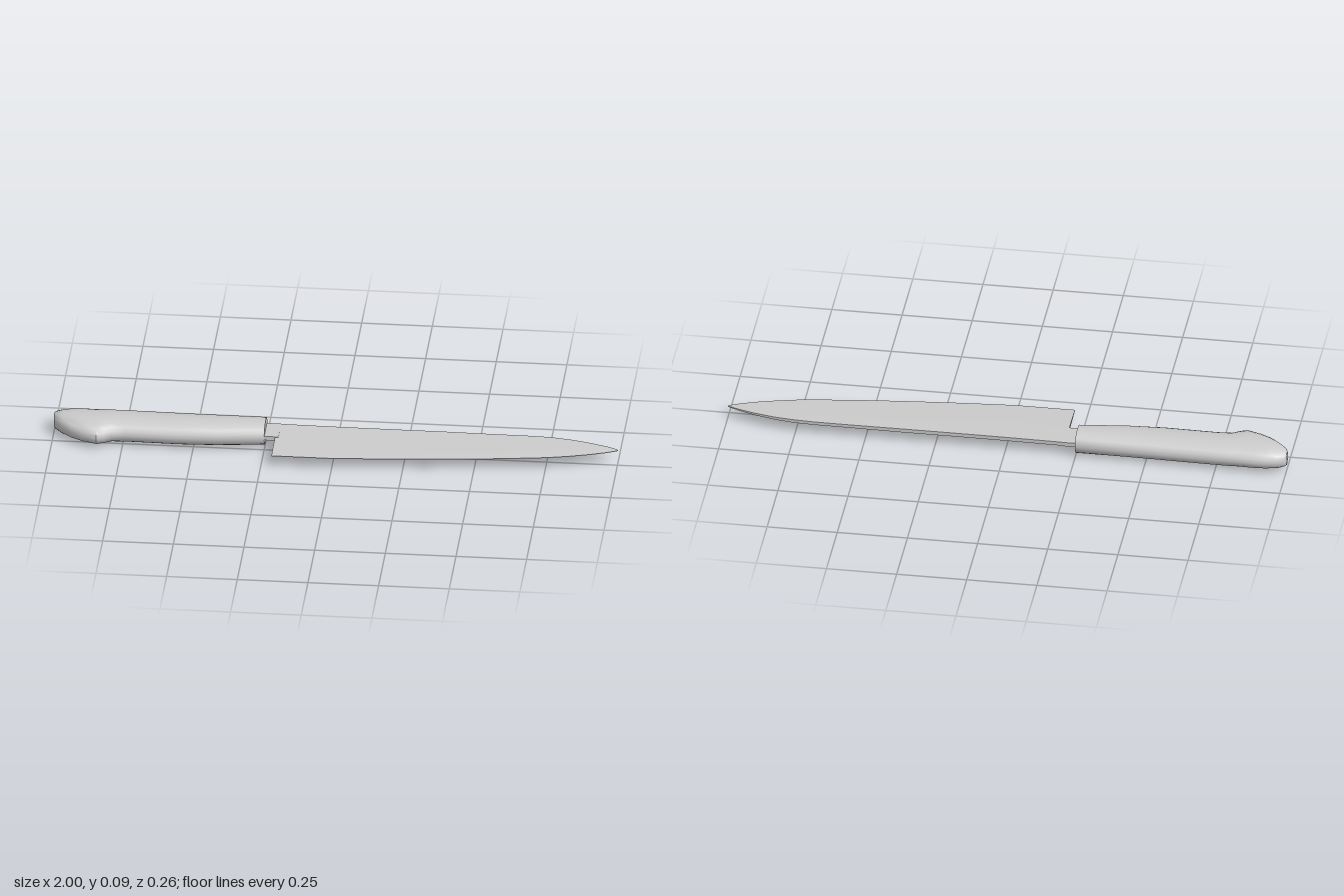
import * as THREE from 'three';
import { toCreasedNormals } from 'three/addons/utils/BufferGeometryUtils.js';

const MID_Y = 0.046;

// Closed skin through rings of equal length, running along +x; each ring turns from +z towards +y
function loft(rings, crease) {
  const n = rings[0].length, pos = rings.flat(2), idx = [];
  for (let i = 0; i < rings.length - 1; i++) {
    for (let j = 0; j < n; j++) {
      const a = i * n + j, b = i * n + (j + 1) % n;
      idx.push(a, a + n, b, b, a + n, b + n);
    }
  }
  const last = (rings.length - 1) * n;
  for (let j = 1; j < n - 1; j++) {
    idx.push(0, j, j + 1, last, last + j + 1, last + j);
  }
  const g = new THREE.BufferGeometry();
  g.setAttribute('position', new THREE.Float32BufferAttribute(pos, 3));
  g.setIndex(idx);
  return toCreasedNormals(g, crease);
}

// Rounded handle section between two z limits
function handleRing([x, z0, z1, h], sides = 20) {
  const ring = [];
  for (let j = 0; j < sides; j++) {
    const a = (j / sides) * Math.PI * 2, c = Math.cos(a), s = Math.sin(a);
    const z = (z0 + z1) / 2 + Math.sign(c) * Math.abs(c) ** 0.9 * (z1 - z0) / 2;
    ring.push([x, MID_Y + Math.sign(s) * Math.abs(s) ** 0.9 * h, z]);
  }
  return ring;
}

// Wedge section: thick spine at z0, thin cutting edge at z1
function bladeRing([x, z0, z1, t]) {
  const zm = z0 + (z1 - z0) * 0.65, e = 0.001;
  return [[z1, e], [zm, t * 0.75], [z0, t], [z0, -t], [zm, -t * 0.75], [z1, -e]]
    .map(([z, y]) => [x, MID_Y + y, z]);
}

export function createModel() {
  const group = new THREE.Group();
  const material = new THREE.MeshStandardMaterial({ color: 0xcccccc });
  const add = (name, geometry) => {
    const mesh = new THREE.Mesh(geometry, material);
    mesh.name = name;
    group.add(mesh);
    return mesh;
  };

  // Handle with a hooked butt: x, back z, front z, half height
  const handle = [
    [-1, -0.1, -0.06, 0.024], [-0.995, -0.108, -0.045, 0.029],
    [-0.97, -0.122, -0.015, 0.036], [-0.93, -0.132, 0.02, 0.041],
    [-0.89, -0.135, 0.042, 0.043], [-0.84, -0.134, 0.06, 0.044],
    [-0.815, -0.133, 0.048, 0.044], [-0.79, -0.133, 0.031, 0.044],
    [-0.74, -0.132, 0.027, 0.044], [-0.55, -0.128, 0.03, 0.044],
    [-0.42, -0.125, 0.022, 0.044], [-0.25, -0.121, -0.002, 0.043],
  ];
  add('handle', loft(handle.map((s) => handleRing(s)), 0.7));

  // Neck joining the blade to the handle
  const neck = add('neck', new THREE.BoxGeometry(0.07, 0.015, 0.103));
  neck.position.set(-0.235, MID_Y, -0.055);

  // Blade: x, spine z, edge z, half thickness at the spine
  const blade = [
    [-0.212, -0.105, 0.13, 0.007], [0, -0.102, 0.13, 0.007],
    [0.18, -0.101, 0.117, 0.007], [0.36, -0.101, 0.101, 0.007],
    [0.55, -0.1, 0.081, 0.006], [0.69, -0.099, 0.062, 0.006],
    [0.76, -0.095, 0.051, 0.006], [0.83, -0.085, 0.035, 0.005],
    [0.9, -0.068, 0.015, 0.004], [0.96, -0.048, -0.006, 0.003],
    [0.99, -0.035, -0.02, 0.002], [1, -0.03, -0.027, 0.001],
  ];
  add('blade', loft(blade.map(bladeRing), 0.35));

  return group;
}
